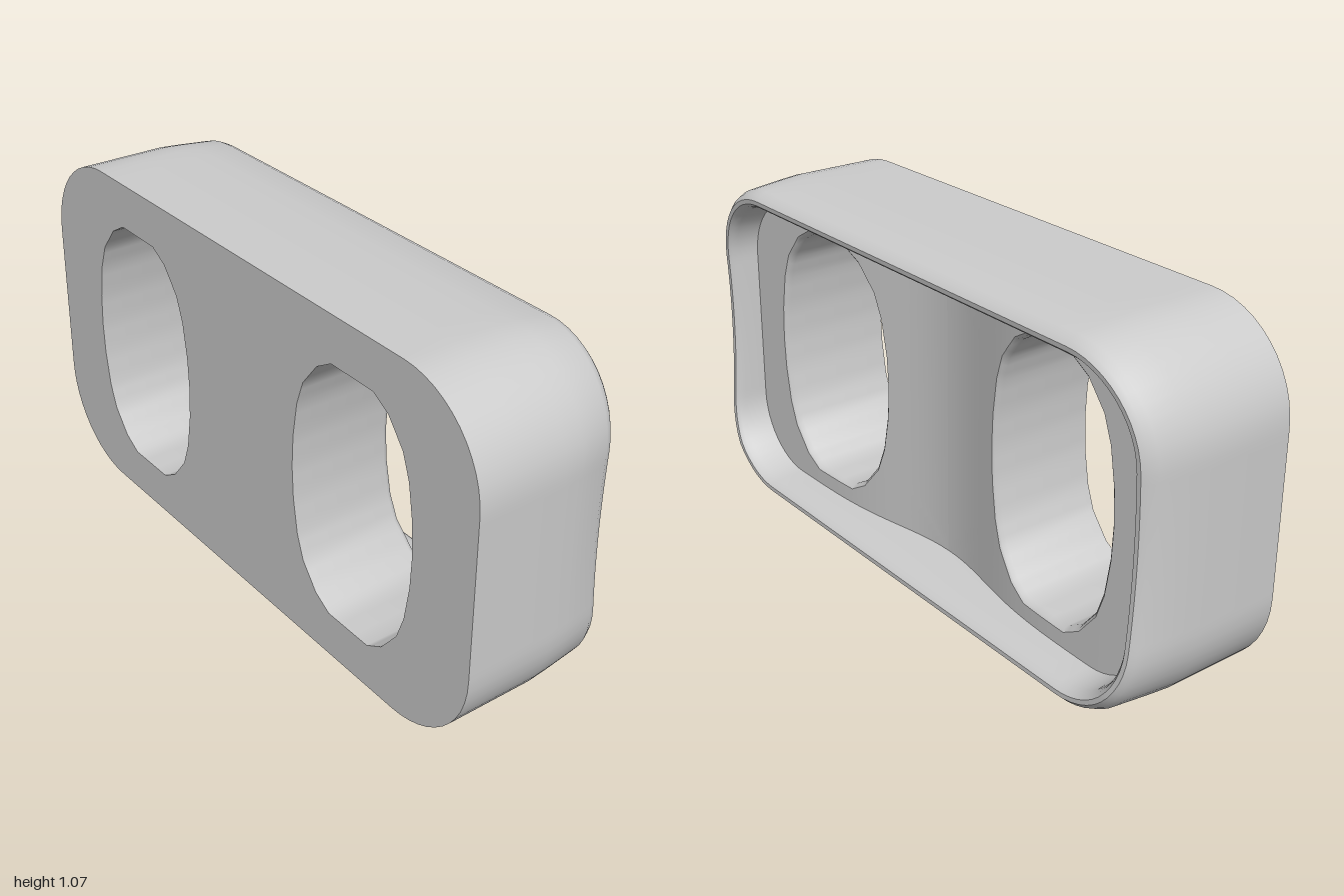
import * as THREE from 'three';
import { toCreasedNormals } from 'three/addons/utils/BufferGeometryUtils.js';

const HEIGHT = 1.07, MID = HEIGHT / 2, FRONT = 0.245, CORNER = 0.29;
const HOLE_X = 0.514;
const material = new THREE.MeshStandardMaterial({ color: 0xcccccc });

// Recessed back panel, gently hollowed along the middle
const floorZ = (x) => -0.125 + 0.07 * Math.exp(-((x / 0.3) ** 2));
// The rim dips forward halfway up the sides
const rimDip = (y) => 0.03 * Math.max(0, 1 - ((y - 0.6) / 0.46) ** 2);

// Counter-clockwise rounded rectangle, moved inwards by inset
function outline(inset) {
  const r = CORNER - inset, cx = 1 - CORNER, cy = MID - CORNER;
  const corners = [[cx, cy], [-cx, cy], [-cx, -cy], [cx, -cy]];
  const pts = [];
  corners.forEach(([x, y], k) => {
    for (let i = 0; i <= 12; i++) {
      const a = (k + i / 12) * Math.PI / 2;
      pts.push(new THREE.Vector2(x + r * Math.cos(a), MID + y + r * Math.sin(a)));
    }
    const [nx, ny] = corners[(k + 1) % 4], a = (k + 1) * Math.PI / 2;
    const end = new THREE.Vector2(nx + r * Math.cos(a), MID + ny + r * Math.sin(a));
    const start = pts[pts.length - 1].clone();
    for (let i = 1; i < 20; i++) pts.push(start.clone().lerp(end, i / 20));
  });
  return pts;
}

// Counter-clockwise eye opening, from one quarter mirrored four ways
function holeOutline(grow = 0) {
  const quarter = [[0.255, 0], [0.25, 0.1], [0.232, 0.21], [0.205, 0.285], [0.145, 0.36], [0.085, 0.395]];
  const upper = [...quarter, ...quarter.slice(1).reverse().map(([x, y]) => [-x, y]), [-0.255, 0]];
  const all = [...upper, ...upper.slice(1, -1).reverse().map(([x, y]) => [x, -y])];
  return all.map(([x, y]) => new THREE.Vector2(
    HOLE_X + x * (1 + grow / 0.255), MID + y * (1 + grow / 0.395)));
}

function subdivide(pts, n) {
  return pts.flatMap((p, i) => Array.from({ length: n }, (_, k) =>
    p.clone().lerp(pts[(i + 1) % pts.length], k / n)));
}

const lift = (pts, z) => pts.map((p) => new THREE.Vector3(p.x, p.y, z(p.x, p.y)));
const mirrored = (loops) => loops.map((loop) =>
  loop.map((p) => new THREE.Vector3(-p.x, p.y, p.z)).reverse());

// Skin a series of closed loops
function loft(loops, crease = 0.6) {
  const n = loops[0].length, index = [];
  for (let s = 0; s < loops.length - 1; s++) {
    for (let i = 0; i < n; i++) {
      const j = (i + 1) % n;
      const a = s * n + i, b = s * n + j, c = b + n, d = a + n;
      index.push(a, d, c, a, c, b);
    }
  }
  const geo = new THREE.BufferGeometry().setFromPoints(loops.flat());
  geo.setIndex(index);
  return toCreasedNormals(geo, crease);
}

// Half of the back panel: rings between the opening and the half outline
function floorLoops() {
  const inset = 0.078, r = CORNER - inset;
  const inside = (x, y) => {
    const dx = Math.max(Math.abs(x) - (1 - CORNER), 0);
    const dy = Math.max(Math.abs(y - MID) - (MID - CORNER), 0);
    return x > 0 && Math.hypot(dx, dy) < r;
  };
  const inner = subdivide(holeOutline(0.012), 6);
  const outer = inner.map((p) => {
    const dx = p.x - HOLE_X, dy = p.y - MID;
    let lo = 1, hi = 10;
    for (let k = 0; k < 30; k++) {
      const t = (lo + hi) / 2;
      if (inside(HOLE_X + dx * t, MID + dy * t)) lo = t; else hi = t;
    }
    return new THREE.Vector2(HOLE_X + dx * lo, MID + dy * lo);
  });
  // Snap to the ends of the centre line so both halves meet fully
  for (const y of [inset, HEIGHT - inset]) {
    const corner = new THREE.Vector2(0, y);
    outer.reduce((best, p) =>
      p.distanceTo(corner) < best.distanceTo(corner) ? p : best).copy(corner);
  }
  return Array.from({ length: 11 }, (_, k) =>
    lift(outer.map((p, i) => p.clone().lerp(inner[i], k / 10)), floorZ));
}

export function createModel() {
  const group = new THREE.Group();
  const add = (name, geometry) => {
    const mesh = new THREE.Mesh(geometry, material);
    mesh.name = name;
    group.add(mesh);
  };

  // Flat front with two openings
  const shape = new THREE.Shape(outline(0));
  const hole = holeOutline();
  shape.holes.push(new THREE.Path(hole));
  shape.holes.push(new THREE.Path(hole.map((p) => new THREE.Vector2(-p.x, p.y)).reverse()));
  add('frontPlate', new THREE.ShapeGeometry(shape).translate(0, 0, FRONT));

  // Outer wall tapering into the rounded back rim, then the wall inside it
  const rim = [[0, FRONT], [0, 0.1], [0, -0.03], [0.006, -0.1], [0.017, -0.205],
    [0.028, -0.229], [0.042, -0.243], [0.056, -0.243], [0.066, -0.232], [0.072, -0.215]];
  const shell = rim.map(([inset, z]) => lift(outline(inset),
    (x, y) => z + rimDip(y) * THREE.MathUtils.clamp(-z / 0.22, 0, 1)));
  shell.push(lift(outline(0.079), (x) => floorZ(x) + 0.004));
  add('outerShell', loft(shell, 0.7));

  // Tunnels with a softened back edge, and the two halves of the back panel
  const rounded = [[0.013, 0], [0.005, 0.006], [0, 0.02]].map(([grow, depth]) =>
    lift(subdivide(holeOutline(grow), 3), (x) => floorZ(x) + depth));
  const tunnel = [...rounded, lift(subdivide(hole, 3), () => FRONT)];
  const panel = floorLoops();
  add('leftEyeTunnel', loft(tunnel, 0.8));
  add('rightEyeTunnel', loft(mirrored(tunnel), 0.8));
  add('leftBackPanel', loft(panel));
  add('rightBackPanel', loft(mirrored(panel)));
  return group;
}
